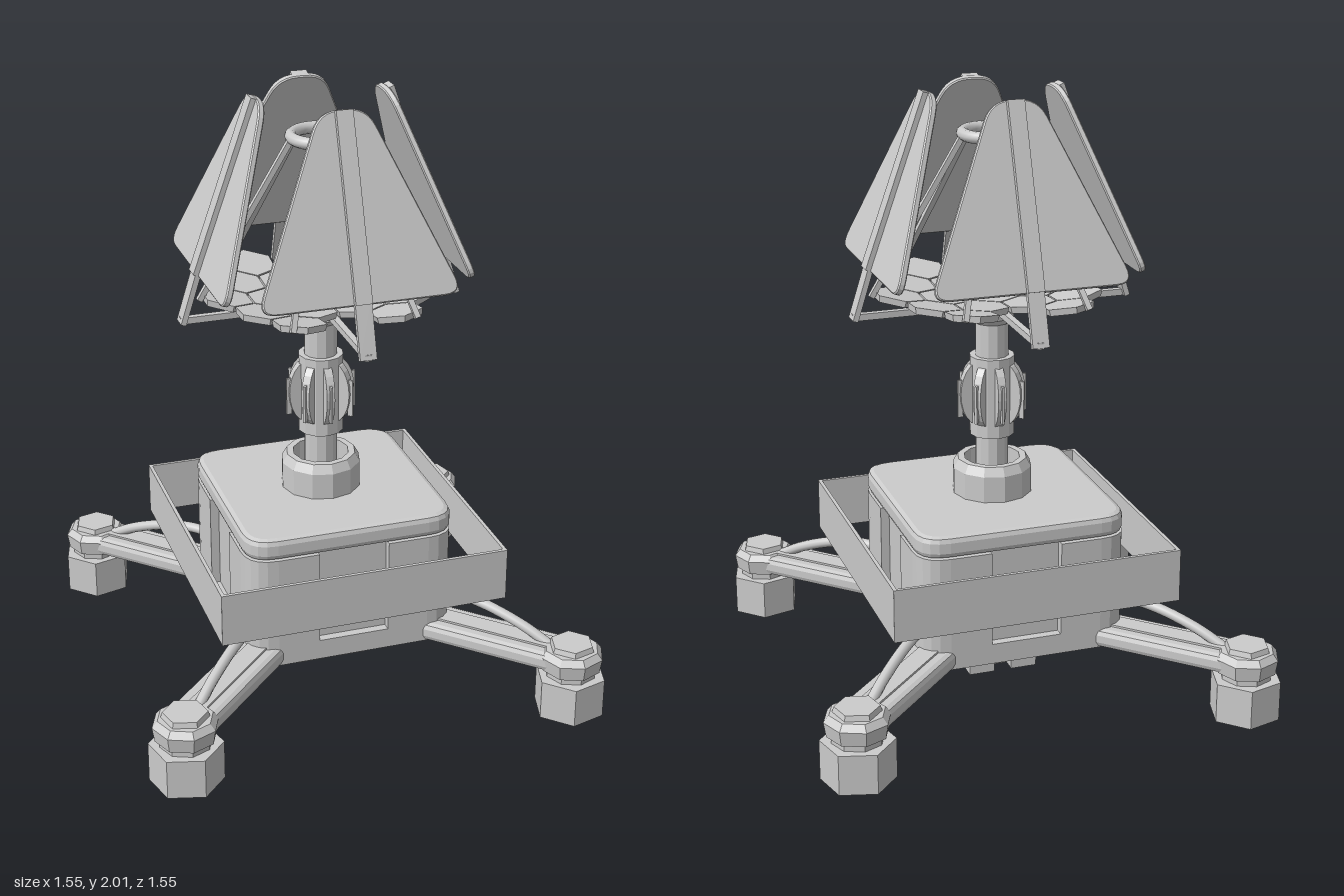
import * as THREE from 'three';

const flat = new THREE.MeshStandardMaterial({ color: 0xcccccc, flatShading: true });
const smooth = new THREE.MeshStandardMaterial({ color: 0xcccccc });
const V = (x, y, z) => new THREE.Vector3(x, y, z);

function add(parent, name, geometry, material = flat) {
  const mesh = new THREE.Mesh(geometry, material);
  mesh.name = name;
  parent.add(mesh);
  return mesh;
}

// Polygon outline with rounded corners
function roundedPoly(points, radius) {
  const pts = points.map(p => new THREE.Vector2(p[0], p[1]));
  const shape = new THREE.Shape();
  pts.forEach((p, i) => {
    const prev = pts[(i + pts.length - 1) % pts.length];
    const next = pts[(i + 1) % pts.length];
    const a = p.clone().add(prev.clone().sub(p).setLength(radius));
    const b = p.clone().add(next.clone().sub(p).setLength(radius));
    if (i === 0) shape.moveTo(a.x, a.y); else shape.lineTo(a.x, a.y);
    shape.quadraticCurveTo(p.x, p.y, b.x, b.y);
  });
  shape.closePath();
  return shape;
}

// Upright extrusion of a plan shape from y0 to y1, optionally bevelled
function slab(shape, y0, y1, bevel = 0) {
  const g = new THREE.ExtrudeGeometry(shape, {
    depth: y1 - y0 - 2 * bevel, bevelEnabled: bevel > 0, bevelSize: bevel,
    bevelOffset: -bevel, bevelThickness: bevel, bevelSegments: 2, curveSegments: 5,
  });
  return g.rotateX(-Math.PI / 2).translate(0, y0 + bevel, 0);
}

function prism(rTop, rBottom, y0, y1, sides) {
  return new THREE.CylinderGeometry(rTop, rBottom, y1 - y0, sides).translate(0, (y0 + y1) / 2, 0);
}

function box(w, h, d, x, y, z) {
  return new THREE.BoxGeometry(w, h, d).translate(x, y, z);
}

// Square-section or round rod between two points
function rod(parent, name, a, b, w, d = w) {
  const m = add(parent, name, new THREE.BoxGeometry(w, a.distanceTo(b), d));
  m.position.copy(a).lerp(b, 0.5);
  m.quaternion.setFromUnitVectors(V(0, 1, 0), b.clone().sub(a).normalize());
  return m;
}

const square = h => [[-h, -h], [h, -h], [h, h], [-h, h]];

// Square outline with a rectangular notch in the middle of each side
function notched(h, half, depth, corner) {
  const shape = new THREE.Shape();
  const c = new THREE.Vector2();
  const spin = (x, y, k) => c.set(x, y).rotateAround(new THREE.Vector2(), k * Math.PI / 2).clone();
  for (let k = 0; k < 4; k++) {
    [[-h + corner, -h], [-half, -h], [-half, -h + depth], [half, -h + depth], [half, -h], [h - corner, -h]]
      .forEach(([x, y], i) => {
        const p = spin(x, y, k);
        if (k + i === 0) shape.moveTo(p.x, p.y); else shape.lineTo(p.x, p.y);
      });
    const q = spin(h, -h, k), e = spin(h, -h + corner, k);
    if (corner) shape.quadraticCurveTo(q.x, q.y, e.x, e.y);
  }
  return shape;
}

function makeBase() {
  const base = new THREE.Group();
  base.name = 'base';
  // Housing in three layers, the middle one with window recesses
  add(base, 'housingBottom', slab(roundedPoly(square(0.36), 0.1), 0.16, 0.23));
  add(base, 'housingMiddle', slab(notched(0.36, 0.12, 0.03, 0.1), 0.23, 0.555));
  add(base, 'housingTop', slab(roundedPoly(square(0.36), 0.1), 0.555, 0.63, 0.02));
  // Connector block underneath
  add(base, 'connectorBlock', box(0.24, 0.12, 0.24, 0, 0.1, 0));
  add(base, 'connectorFoot', slab(notched(0.12, 0.03, 0.05, 0), 0, 0.04));
  // Open square fence
  const fence = roundedPoly(square(0.488), 0.001);
  fence.holes.push(new THREE.Path(square(0.476).map(p => new THREE.Vector2(...p)).reverse()));
  add(base, 'fence', slab(fence, 0.355, 0.535));
  return base;
}

// One leg built along +x
function makeLeg() {
  const leg = new THREE.Group();
  leg.name = 'leg';
  const end = 0.93;
  const beam = roundedPoly([[0.38, -0.08], [end, -0.08], [end, 0.08], [0.38, 0.08]], 0.03);
  add(leg, 'legBeam', slab(beam, 0.16, 0.225, 0.02));
  add(leg, 'legRidge', box(0.45, 0.02, 0.07, 0.65, 0.222, 0));
  const parts = [
    ['footPad', prism(0.12, 0.12, 0, 0.135, 6)],
    ['footNeck', prism(0.085, 0.085, 0.13, 0.165, 8)],
    ['footRim', prism(0.09, 0.108, 0.21, 0.232, 8)],
    ['footDisc', prism(0.108, 0.1, 0.16, 0.21, 8)],
    ['footKnob', prism(0.072, 0.078, 0.23, 0.25, 6)],
  ];
  for (const [name, g] of parts) add(leg, name, g.rotateY(Math.PI / 2).translate(end, 0, 0));
  const path = new THREE.CatmullRomCurve3(
    [[0.42, 0.315], [0.5, 0.325], [0.62, 0.31], [0.76, 0.265], [0.86, 0.215]].map(([x, y]) => V(x, y, 0)));
  add(leg, 'legHose', new THREE.TubeGeometry(path, 20, 0.018, 10), smooth);
  return leg;
}

function makeMast() {
  const mast = new THREE.Group();
  mast.name = 'mast';
  const cup = [[0.135, 0.63], [0.135, 0.72], [0.118, 0.75], [0.095, 0.75], [0.095, 0.65], [0, 0.65]];
  add(mast, 'socket', new THREE.LatheGeometry(cup.map(p => new THREE.Vector2(...p)), 12));
  add(mast, 'pole', prism(0.056, 0.056, 0.64, 1.26, 12));
  add(mast, 'coolerCore', prism(0.076, 0.076, 0.835, 1.11, 12));
  add(mast, 'headCollar', prism(0.075, 0.075, 1.245, 1.3, 12));
  add(mast, 'headCollarTaper', prism(0.075, 0.06, 1.225, 1.245, 12));
  // Curved fins around the core
  const fin = new THREE.Shape();
  fin.moveTo(0.06, -0.11);
  fin.bezierCurveTo(0.13, -0.08, 0.13, 0.08, 0.06, 0.11);
  fin.closePath();
  for (let i = 0; i < 8; i++) {
    const g = new THREE.ExtrudeGeometry(fin, { depth: 0.028, bevelEnabled: false, curveSegments: 10 });
    const a = i * Math.PI / 4;
    add(mast, 'coolerFin', g.translate(0, 0.98, -0.014).rotateY(a));
    add(mast, 'finClip', box(0.018, 0.13, 0.008, 0.111, 0.965, 0).rotateY(a));
  }
  return mast;
}

// Shallow dish of hexagonal tiles with a ring held above it by six struts
function makeDish() {
  const dish = new THREE.Group();
  dish.name = 'dish';
  const step = 0.16;
  for (let row = -2; row <= 2; row++) {
    const count = 5 - Math.abs(row);
    for (let i = 0; i < count; i++) {
      const x = (i - (count - 1) / 2) * step, z = row * step * 0.866;
      const r = Math.hypot(x, z);
      if (Math.abs(row) === 2 && i === 1) continue;
      const tile = add(dish, 'dishTile', new THREE.CylinderGeometry(0.089, 0.084, 0.022, 6));
      tile.position.set(x, 1.305 + 0.3 * r * r, z);
      tile.quaternion.setFromUnitVectors(V(0, 1, 0), V(-0.6 * x, 1, -0.6 * z).normalize());
    }
  }
  for (let i = 0; i < 6; i++) {
    const c = Math.cos(i * Math.PI / 3), s = Math.sin(i * Math.PI / 3);
    rod(dish, 'ringStrut', V(0.41 * c, 1.345, 0.41 * s), V(0.1 * c, 1.85, 0.1 * s), 0.018);
  }
  add(dish, 'topRing', new THREE.TorusGeometry(0.095, 0.02, 10, 32).rotateX(Math.PI / 2).translate(0, 1.855, 0), smooth);
  return dish;
}

// One petal with its arm, facing +z
function makePetal() {
  const petal = new THREE.Group();
  petal.name = 'petal';
  rod(petal, 'petalArm', V(0, 1.283, 0.05), V(0, 1.283, 0.475), 0.022);
  rod(petal, 'petalLink', V(0, 1.275, 0.47), V(0, 1.46, 0.412), 0.055, 0.018);
  const blade = new THREE.Group();
  blade.name = 'petalBlade';
  const outline = roundedPoly([[-0.335, 0], [0.335, 0], [0.077, 0.6], [-0.077, 0.6]], 0.065);
  add(blade, 'petalPanel', new THREE.ExtrudeGeometry(outline, {
    depth: 0.014, bevelEnabled: true, bevelSize: 0.004, bevelOffset: -0.004, bevelThickness: 0.004, bevelSegments: 1, curveSegments: 6,
  }).translate(0, 0, -0.014));
  add(blade, 'petalRib', box(0.055, 0.595, 0.022, 0, 0.3, 0.01));
  blade.position.set(0, 1.435, 0.415);
  blade.rotation.x = -Math.atan2(0.2, 0.565);
  petal.add(blade);
  return petal;
}

export function createModel() {
  const model = new THREE.Group();
  model.name = 'fieldDevice';
  model.add(makeBase(), makeMast(), makeDish());
  for (let i = 0; i < 4; i++) {
    const leg = makeLeg();
    leg.rotation.y = Math.PI / 4 + i * Math.PI / 2;
    const petal = makePetal();
    petal.rotation.y = i * Math.PI / 2;
    model.add(leg, petal);
  }
  return model;
}
